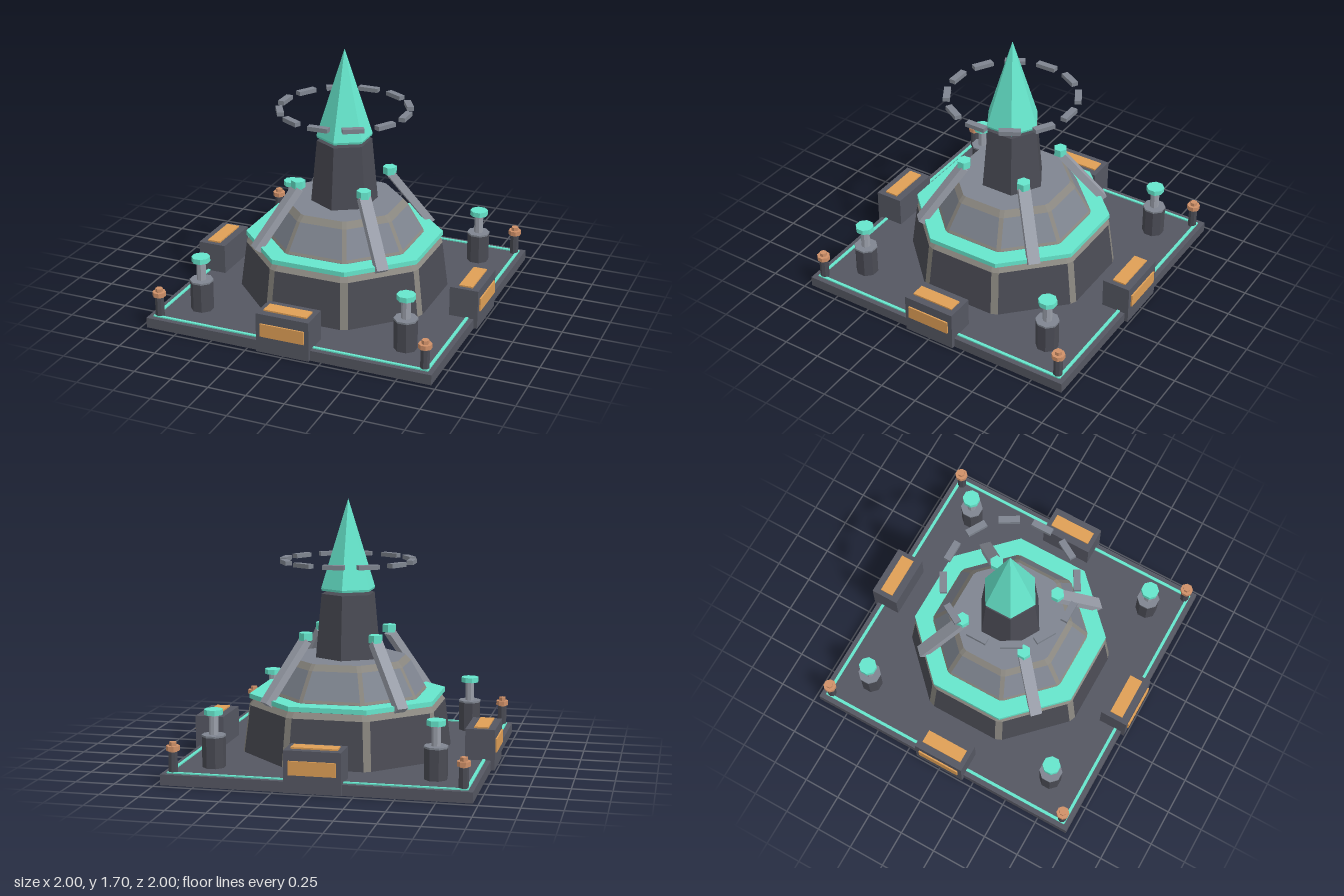
import * as THREE from 'three';

const mat = (color) => new THREE.MeshStandardMaterial({ color, flatShading: true });
const DARK = mat(0x555762), DARKER = mat(0x4a4b54), STEEL = mat(0x7f8590), LIGHT = mat(0x9a9faa);
const TRIM = mat(0x8a8780), TEAL = mat(0x66e6cc), ORANGE = mat(0xdf9f56), COPPER = mat(0xcf9068);

function add(parent, name, geometry, material, x = 0, y = 0, z = 0) {
  const mesh = new THREE.Mesh(geometry, material);
  mesh.name = name;
  mesh.position.set(x, y, z);
  parent.add(mesh);
  return mesh;
}

const box = (w, h, d) => new THREE.BoxGeometry(w, h, d);

// Upright prism or frustum standing between two heights
function prism(parent, name, material, rTop, rBottom, y0, y1, sides, x = 0, z = 0, turn = 0) {
  const g = new THREE.CylinderGeometry(rTop, rBottom, y1 - y0, sides, 1, false, turn);
  return add(parent, name, g, material, x, (y0 + y1) / 2, z);
}

// Octagon section with cut corners: two points per side
function octagon(apothem, y, cut) {
  const half = apothem * Math.tan(Math.PI / 8) - cut;
  const points = [];
  for (let k = 0; k < 8; k++) {
    const s = Math.sin(k * Math.PI / 4), c = Math.cos(k * Math.PI / 4);
    for (const t of [-half, half]) points.push([s * apothem + c * t, y, c * apothem - s * t]);
  }
  return points;
}

// Stepped tier: sections are [apothem, y, band is trim]; cut corners become trim
function tier(parent, name, sections, cut, material) {
  const faces = [], trim = [];
  const rings = sections.map(([a, y]) => octagon(a, y, cut));
  for (let r = 0; r < rings.length - 1; r++) {
    for (let i = 0; i < 16; i++) {
      const j = (i + 1) % 16, lo = rings[r], hi = rings[r + 1];
      const out = i % 2 || sections[r][2] ? trim : faces;
      out.push(...lo[i], ...lo[j], ...hi[j], ...lo[i], ...hi[j], ...hi[i]);
    }
  }
  const top = rings[rings.length - 1], y = top[0][1];
  for (let i = 0; i < 16; i++) faces.push(0, y, 0, ...top[i], ...top[(i + 1) % 16]);
  for (const [label, data, m] of [['Faces', faces, material], ['Trim', trim, TRIM]]) {
    const g = new THREE.BufferGeometry();
    g.setAttribute('position', new THREE.Float32BufferAttribute(data, 3));
    g.computeVertexNormals();
    add(parent, name + label, g, m);
  }
}

export function createModel() {
  const model = new THREE.Group();
  model.name = 'beaconTower';

  // Base plate with inlaid border
  add(model, 'basePlate', box(1.93, 0.068, 1.93), DARK, 0, 0.034, 0);
  for (const s of [-1, 1]) {
    add(model, 'borderStripX', box(1.86, 0.012, 0.02), TEAL, 0, 0.07, s * 0.922);
    add(model, 'borderStripZ', box(0.02, 0.012, 1.86), TEAL, s * 0.922, 0.07, 0);
  }

  // Octagonal tiers and the glowing ring between them
  tier(model, 'lowerTier', [[0.643, 0.065], [0.605, 0.375, true], [0.578, 0.412]], 0.026, DARKER);
  const k = 1 / Math.cos(Math.PI / 8), inner = 0.47 * k, outer = 0.598 * k;
  const ringProfile = [[inner, 0.417], [outer, 0.417], [outer, 0.448], [inner, 0.448], [inner, 0.417]];
  add(model, 'tierRing', new THREE.LatheGeometry(
    ringProfile.map(([x, y]) => new THREE.Vector2(x, y)), 8, Math.PI / 8), TEAL);
  tier(model, 'upperTier',
    [[0.487, 0.41], [0.487, 0.45, true], [0.478, 0.467], [0.388, 0.638, true], [0.355, 0.677]], 0.016, STEEL);

  // Hexagonal tower and floating spire
  prism(model, 'tower', DARKER, 0.18, 0.22, 0.67, 1.09, 6);
  prism(model, 'spireBase', TEAL, 0.183, 0.178, 1.11, 1.125, 6);
  const spire = new THREE.ConeGeometry(0.183, 0.575, 6);
  add(model, 'spire', spire, TEAL, 0, 1.4125, 0);

  // Floating halo of blocks
  for (let i = 0; i < 12; i++) {
    const a = i * Math.PI / 6;
    const block = add(model, 'haloBlock', box(0.136, 0.028, 0.044), STEEL,
      Math.sin(a) * 0.416, 1.302, Math.cos(a) * 0.416);
    block.rotation.y = a;
  }

  // Power boxes at the middle of each side
  for (let i = 0; i < 4; i++) {
    const unit = new THREE.Group();
    unit.name = 'powerBox';
    unit.rotation.y = i * Math.PI / 2;
    add(unit, 'housing', box(0.355, 0.262, 0.19), DARK, 0, 0.136, 0.895);
    add(unit, 'frontPanel', box(0.295, 0.087, 0.02), ORANGE, 0, 0.161, 0.99);
    add(unit, 'topPanel', box(0.29, 0.02, 0.09), ORANGE, 0, 0.267, 0.897);
    model.add(unit);
  }

  for (const sx of [-1, 1]) {
    for (const sz of [-1, 1]) {
      // Sloping braces with caps
      const low = new THREE.Vector3(sx * 0.437, 0.42, sz * 0.437);
      const high = new THREE.Vector3(sx * 0.23, 0.805, sz * 0.23);
      const brace = add(model, 'brace', box(0.078, 0.05, low.distanceTo(high)), LIGHT);
      brace.position.copy(low).lerp(high, 0.5);
      brace.lookAt(high);
      prism(model, 'braceCap', TEAL, 0.046, 0.046, 0.807, 0.856, 6, sx * 0.227, sz * 0.227);

      // Corner pistons
      const p = [8, sx * 0.7, sz * 0.7, Math.PI / 8];
      prism(model, 'pistonBody', DARKER, 0.074, 0.074, 0.06, 0.262, ...p);
      prism(model, 'pistonCollar', STEEL, 0.077, 0.077, 0.262, 0.274, ...p);
      prism(model, 'pistonRod', LIGHT, 0.03, 0.03, 0.27, 0.405, ...p);
      prism(model, 'pistonHead', TEAL, 0.06, 0.06, 0.4, 0.434, ...p);

      // Corner bolts
      const b = [sx * 0.9, sz * 0.9];
      prism(model, 'boltPost', DARKER, 0.03, 0.03, 0.06, 0.2, 8, ...b);
      prism(model, 'boltNeck', COPPER, 0.026, 0.026, 0.19, 0.212, 8, ...b);
      prism(model, 'boltFlange', COPPER, 0.043, 0.043, 0.208, 0.238, 8, ...b, Math.PI / 8);
      prism(model, 'boltTip', COPPER, 0.024, 0.024, 0.238, 0.262, 6, ...b);
    }
  }
  return model;
}
